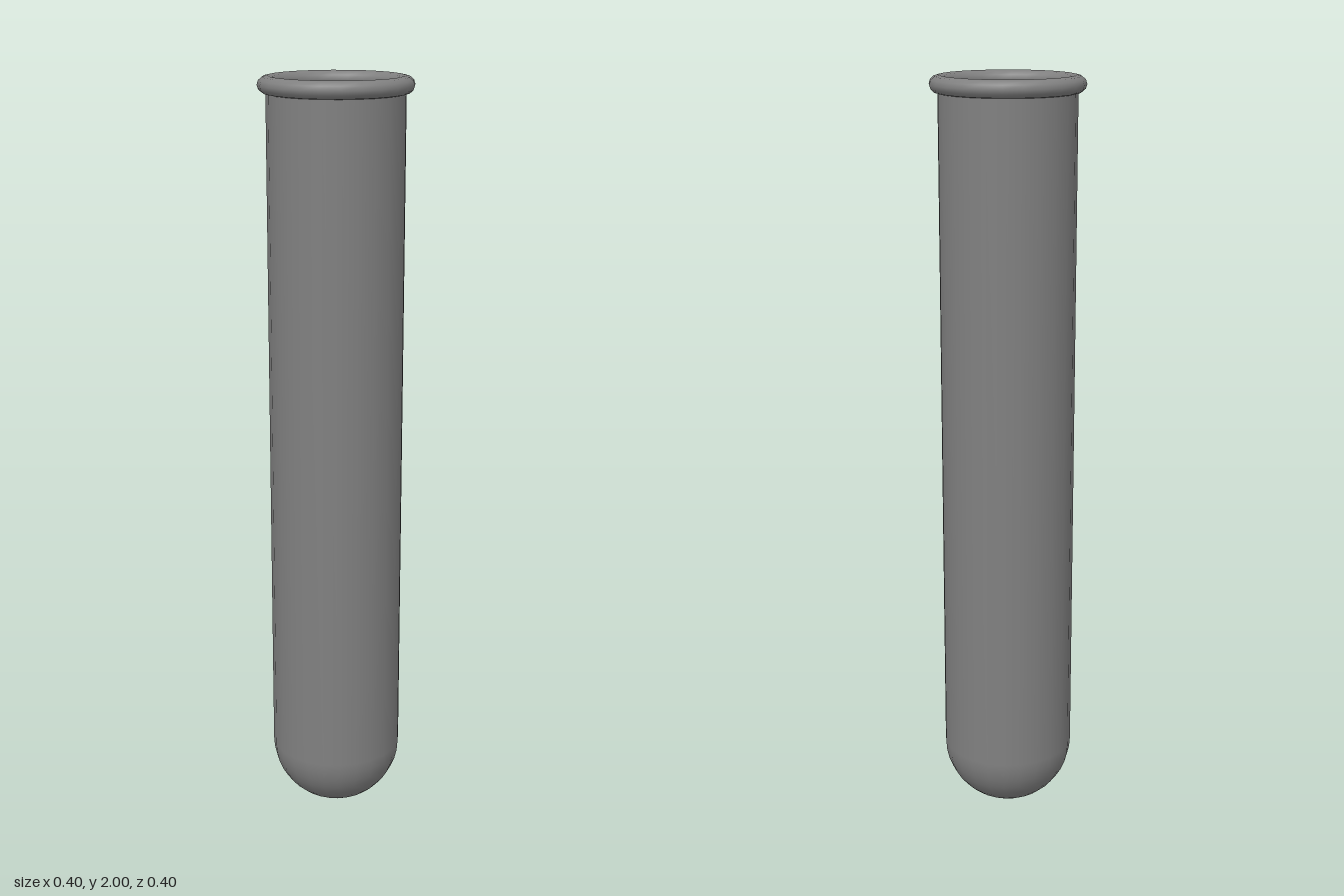
import * as THREE from 'three';

const SIDES = 24;

export function createModel() {
  const group = new THREE.Group();
  const glass = new THREE.MeshStandardMaterial({ color: 0x808080, side: THREE.DoubleSide });

  // Thin open tube: round bottom running into a straight wall
  const radius = 0.176, rimHeight = 1.9775;
  const profile = [];
  const steps = 10;
  for (let i = 0; i <= steps; i++) {
    const a = (i / steps) * Math.PI / 2;
    profile.push(new THREE.Vector2(radius * Math.sin(a), radius * (1 - Math.cos(a))));
  }
  profile.push(new THREE.Vector2(radius, rimHeight));
  const tube = new THREE.Mesh(new THREE.LatheGeometry(profile, SIDES), glass);
  tube.name = 'tube';
  group.add(tube);

  // Rolled lip around the mouth, slightly flattened
  const lipGeometry = new THREE.TorusGeometry(0.1715, 0.026, 12, SIDES);
  lipGeometry.scale(1, 1, 0.865);
  const lip = new THREE.Mesh(lipGeometry, glass);
  lip.name = 'lip';
  lip.rotation.x = Math.PI / 2;
  lip.position.y = rimHeight;
  group.add(lip);

  return group;
}
